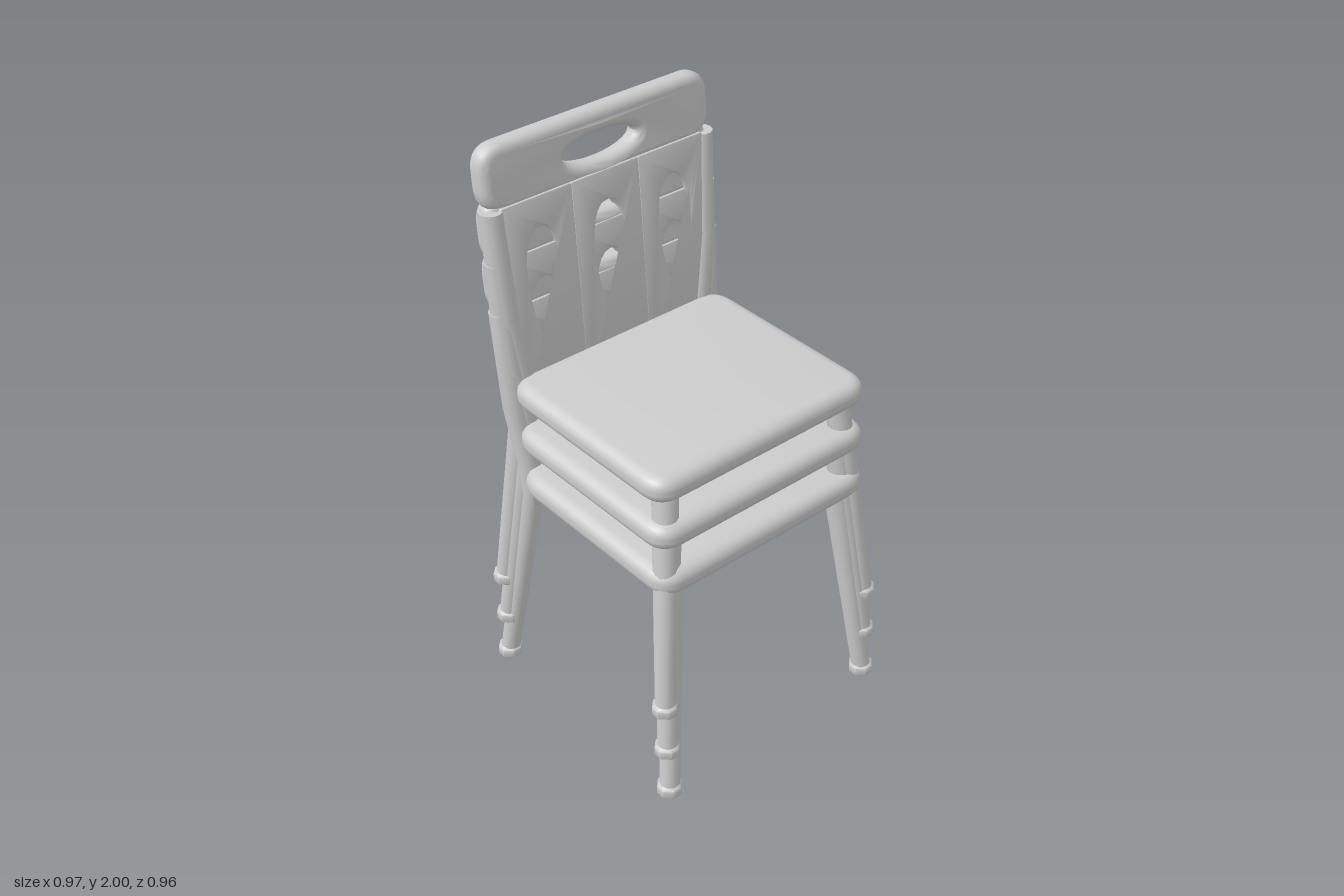
import * as THREE from 'three';
import { toCreasedNormals } from 'three/addons/utils/BufferGeometryUtils.js';
import { RoundedBoxGeometry } from 'three/addons/geometries/RoundedBoxGeometry.js';

const plastic = new THREE.MeshStandardMaterial({ color: 0xcccccc });
plastic.name = 'light grey plastic';

function add(parent, name, geometry, x = 0, y = 0, z = 0) {
  const mesh = new THREE.Mesh(geometry, plastic);
  mesh.name = name;
  mesh.position.set(x, y, z);
  parent.add(mesh);
  return mesh;
}

// Rectangle with rounded (or chamfered) corners, centred on the origin
function roundedRect(w, h, r) {
  const s = new THREE.Shape();
  const x = w / 2, y = h / 2;
  s.moveTo(-x + r, -y);
  s.lineTo(x - r, -y).quadraticCurveTo(x, -y, x, -y + r);
  s.lineTo(x, y - r).quadraticCurveTo(x, y, x - r, y);
  s.lineTo(-x + r, y).quadraticCurveTo(-x, y, -x, y - r);
  s.lineTo(-x, -y + r).quadraticCurveTo(-x, -y, -x + r, -y);
  return s;
}

// Slab of the given thickness, centred in z, with rounded edges inside the outline
function slab(shape, thickness, bevel, segments = 4, curveSegments = 8) {
  const geo = new THREE.ExtrudeGeometry(shape, {
    depth: thickness - 2 * bevel, bevelEnabled: true, bevelThickness: bevel,
    bevelSize: bevel, bevelOffset: -bevel, bevelSegments: segments, curveSegments,
  });
  geo.translate(0, 0, bevel - thickness / 2);
  return toCreasedNormals(geo, 0.8);
}

// Tapered round leg through cross-sections [x, y, z, radius]
function legGeometry(sections, sides = 14) {
  const pos = [], index = [];
  for (const [x, y, z, r] of sections) {
    for (let i = 0; i < sides; i++) {
      const a = (i / sides) * Math.PI * 2;
      pos.push(x + Math.cos(a) * r, y, z + Math.sin(a) * r);
    }
  }
  for (let k = 0; k < sections.length - 1; k++) {
    for (let i = 0; i < sides; i++) {
      const a = k * sides + i, b = k * sides + (i + 1) % sides;
      index.push(a, a + sides, b, b, a + sides, b + sides);
    }
  }
  const top = (sections.length - 1) * sides;
  for (let i = 1; i < sides - 1; i++) {
    index.push(0, i, i + 1, top, top + i + 1, top + i);
  }
  const geo = new THREE.BufferGeometry();
  geo.setAttribute('position', new THREE.Float32BufferAttribute(pos, 3));
  geo.setIndex(index);
  return toCreasedNormals(geo, 0.8);
}

// Seat with rounded corners
function seatGeometry() {
  const geo = slab(roundedRect(0.88, 0.75, 0.09), 0.09, 0.04);
  return geo.rotateX(-Math.PI / 2);
}

// One back column with a tall pointed opening
function columnGeometry() {
  const s = roundedRect(0.267, 0.74, 0.004);
  const hole = new THREE.Path();
  hole.moveTo(0, -0.16);
  hole.bezierCurveTo(0.06, -0.07, 0.1, 0.27, 0, 0.27);
  hole.bezierCurveTo(-0.1, 0.27, -0.06, -0.07, 0, -0.16);
  s.holes.push(hole);
  return slab(s, 0.05, 0.008, 3, 12);
}

// Head rail with an oval hand hole, its ends swept slightly back
function railGeometry() {
  const s = roundedRect(0.89, 0.222, 0.085);
  const hole = new THREE.Path();
  hole.absellipse(0, -0.012, 0.145, 0.045, 0, Math.PI * 2, true);
  s.holes.push(hole);
  const geo = slab(s, 0.08, 0.032, 5, 12);
  const p = geo.attributes.position;
  for (let i = 0; i < p.count; i++) p.setZ(i, p.getZ(i) - 0.05 * p.getX(i) ** 2);
  return toCreasedNormals(geo, 0.8);
}

function makeChair(zShift, backFootZ) {
  const chair = new THREE.Group();
  chair.name = 'chair';

  add(chair, 'seat', seatGeometry(), 0, 0.835, 0.025);
  add(chair, 'rearSeatRail', new RoundedBoxGeometry(0.72, 0.085, 0.08, 4, 0.035), 0, 0.835, -0.375);

  // Leaning back rest: three pierced columns under a head rail
  const back = new THREE.Group();
  back.name = 'backRest';
  back.position.set(0, 0.8, -0.353);
  back.rotation.x = -0.073;
  const column = columnGeometry();
  for (const i of [-1, 0, 1]) add(back, 'backColumn', column, i * 0.264, 0.287, 0);
  add(back, 'headRail', railGeometry(), 0, 0.748, -0.018);
  chair.add(back);

  // Splayed legs; the rear ones carry on upward as back posts
  const footShape = roundedRect(0.082, 0.082, 0.026);
  const foot = slab(footShape, 0.044, 0.008, 1, 1).rotateX(-Math.PI / 2);
  for (const side of [-1, 1]) {
    add(chair, 'frontLeg', legGeometry([
      [side * 0.442, 0.02, 0.422, 0.034], [side * 0.355, 0.81, 0.325, 0.043],
    ]));
    add(chair, 'frontFoot', foot, side * 0.442, 0.022, 0.42);
    const bz = backFootZ - zShift;
    add(chair, 'backLeg', legGeometry([
      [side * 0.442, 0.02, bz, 0.034], [side * 0.37, 0.76, -0.365, 0.043],
      [side * 0.375, 0.88, -0.362, 0.043], [side * 0.405, 1.1, -0.381, 0.042],
      [side * 0.417, 1.45, -0.408, 0.04],
    ]));
    add(chair, 'backFoot', foot, side * 0.442, 0.022, bz);
  }
  return chair;
}

export function createModel() {
  const model = new THREE.Group();
  model.name = 'stackedChairs';
  // Three chairs nested in a stack
  const shifts = [0.02, 0.01, 0], backFeet = [-0.44, -0.432, -0.435];
  for (let i = 0; i < 3; i++) {
    const chair = makeChair(shifts[i], backFeet[i]);
    chair.position.set(0, i * 0.172, shifts[i]);
    model.add(chair);
  }
  return model;
}
